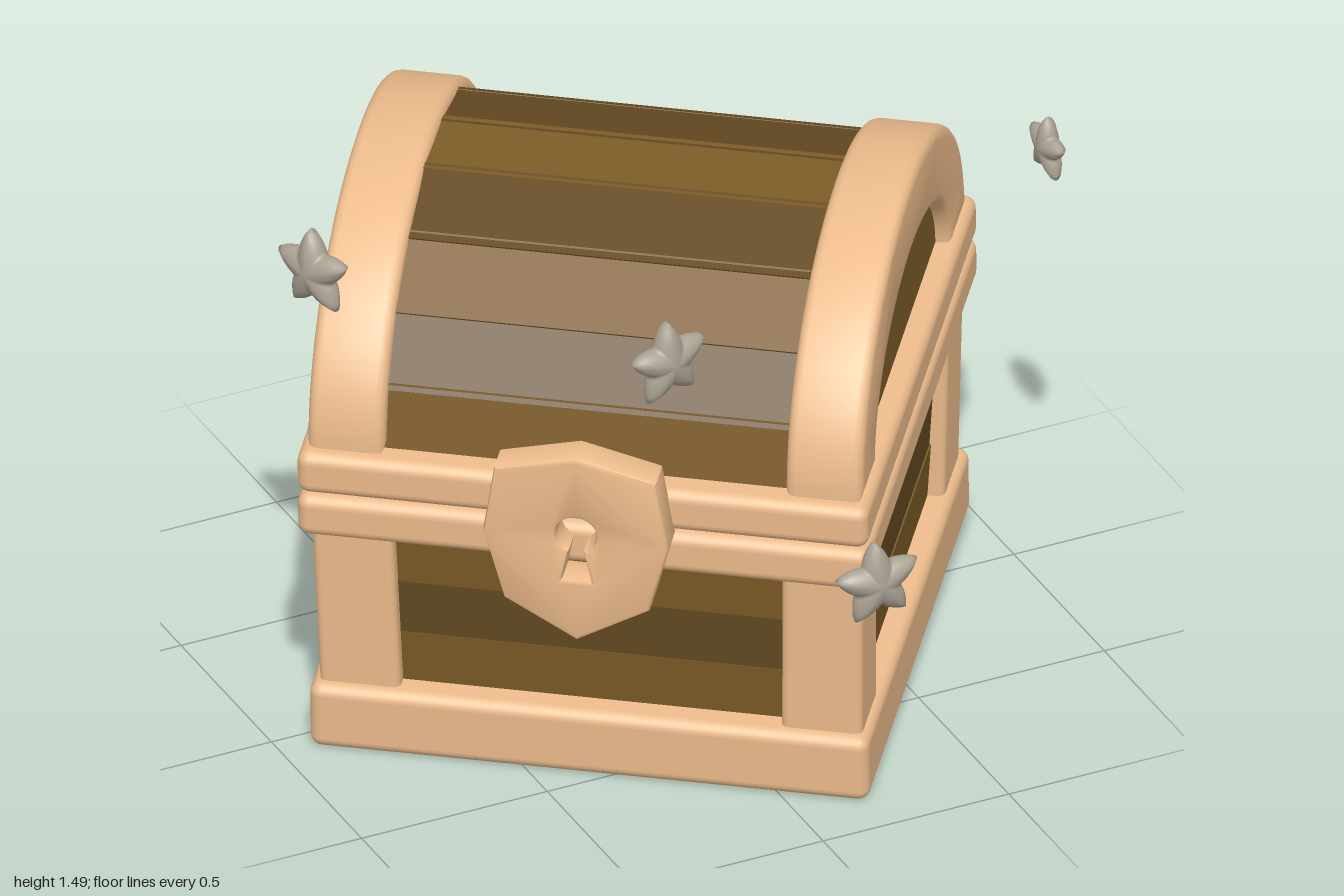
import * as THREE from 'three';
import { RoundedBoxGeometry } from 'three/addons/geometries/RoundedBoxGeometry.js';
import { toCreasedNormals } from 'three/addons/utils/BufferGeometryUtils.js';

const mat = (color) => new THREE.MeshStandardMaterial({ color });
const trim = mat(0xedbc8c);
const woods = [mat(0x7d5c28), mat(0x644a22)];
const starGrey = mat(0xaba394);

function add(parent, name, geometry, material, x = 0, y = 0, z = 0) {
  const mesh = new THREE.Mesh(geometry, material);
  mesh.name = name;
  mesh.position.set(x, y, z);
  parent.add(mesh);
  return mesh;
}

const rounded = (w, h, d, r = 0.03) => new RoundedBoxGeometry(w, h, d, 3, r);

// Corner post, leaning outwards towards the top
function postGeometry(sx, sz) {
  const g = rounded(0.2, 0.54, 0.2, 0.02);
  const p = g.attributes.position;
  for (let i = 0; i < p.count; i++) {
    const t = p.getY(i) / 0.54;
    p.setX(i, p.getX(i) + sx * 0.012 * t);
    p.setZ(i, p.getZ(i) + sz * 0.03 * t);
  }
  return g;
}

// Extrude a side profile along x, centred, with softened edges
function sideExtrude(shape, width, bevel) {
  const g = new THREE.ExtrudeGeometry(shape, {
    depth: width - 2 * bevel, bevelEnabled: bevel > 0, bevelSize: bevel,
    bevelThickness: bevel, bevelOffset: -bevel, bevelSegments: 3, curveSegments: 28,
  });
  g.translate(0, 0, -(width - 2 * bevel) / 2);
  g.rotateY(Math.PI / 2);
  return toCreasedNormals(g, 0.6);
}

// Puffy five-pointed star: a flattened sphere pulled into points
function starGeometry(radius) {
  const g = new THREE.SphereGeometry(1, 60, 16);
  g.rotateX(Math.PI / 2);
  const p = g.attributes.position;
  const step = (Math.PI * 2) / 5;
  for (let i = 0; i < p.count; i++) {
    const x = p.getX(i), y = p.getY(i), z = p.getZ(i);
    const a = Math.atan2(x, y);
    const off = Math.abs(a - Math.round(a / step) * step) / (step / 2);
    const r = radius * (0.54 + 0.46 * Math.pow(1 - off, 1.25));
    p.setXYZ(i, x * r, y * r, z * radius * 0.34);
  }
  g.computeVertexNormals();
  return g;
}

function buildBody(chest) {
  add(chest, 'base', rounded(1.38, 0.18, 1.31), trim, 0, 0.09, 0);
  add(chest, 'lowerBand', rounded(1.41, 0.115, 1.41), trim, 0, 0.707, 0);
  add(chest, 'upperBand', rounded(1.41, 0.115, 1.41), trim, 0, 0.83, 0);
  add(chest, 'bodyCore', new THREE.BoxGeometry(1.2, 0.7, 1.1), woods[1], 0, 0.45, 0);
  for (const sx of [-1, 1]) for (const sz of [-1, 1]) {
    add(chest, 'cornerPost', postGeometry(sx, sz), trim, sx * 0.575, 0.42, sz * 0.535);
  }
  // Horizontal planks on all four walls
  for (let i = 0; i < 4; i++) {
    const y = 0.25 + i * 0.152;
    for (const s of [-1, 1]) {
      const wall = add(chest, 'wallPlank', new THREE.BoxGeometry(1.12, 0.152, 0.06),
        woods[i % 2], 0, y, s * (0.555 + i * 0.008));
      wall.rotation.x = s * 0.06;
      const side = add(chest, 'sidePlank', new THREE.BoxGeometry(0.06, 0.152, 1.06),
        woods[i % 2], s * (0.603 + i * 0.005), y, 0);
      side.rotation.z = -s * 0.06;
    }
  }
}

function buildLid(chest) {
  const lid = new THREE.Group();
  lid.name = 'lid';
  lid.position.y = 0.88;
  chest.add(lid);

  // End arches with gable panels
  const arch = new THREE.Shape();
  arch.absellipse(0, 0, 0.665, 0.505, 0, Math.PI, false);
  arch.lineTo(-0.475, 0);
  arch.absellipse(0, 0, 0.475, 0.305, Math.PI, 0, true);
  arch.closePath();
  const archGeo = sideExtrude(arch, 0.19, 0.025);
  const panel = new THREE.Shape();
  panel.absellipse(0, 0, 0.53, 0.36, 0, Math.PI, false);
  panel.closePath();
  const panelGeo = sideExtrude(panel, 0.1, 0);
  for (const s of [-1, 1]) {
    add(lid, 'endArch', archGeo, trim, s * 0.59, 0, 0);
    add(lid, 'gablePanel', panelGeo, woods[0], s * 0.595, 0, 0);
  }

  // Curved roof of overlapping planks
  const count = 9, a = 0.625, b = 0.475;
  const at = (i) => {
    const t = (i / count) * Math.PI;
    return new THREE.Vector2(a * Math.cos(t), b * Math.sin(t));
  };
  for (let i = 0; i < count; i++) {
    const p = at(i), q = at(i + 1);
    const d = q.clone().sub(p);
    const plank = add(lid, 'lidPlank', new THREE.BoxGeometry(1.14, 0.05, d.length() + 0.025),
      woods[i % 2], 0, (p.y + q.y) / 2 - 0.012, (p.x + q.x) / 2);
    plank.rotation.x = Math.atan2(-d.y, d.x) + Math.PI + (i % 2 ? 0.03 : -0.03);
    // Keep the plank's centre just under the curve
    plank.position.z *= 0.975;
  }
}

function buildLock(chest) {
  const half = [[0, 0.265], [0.2, 0.215], [0.23, 0.03], [0.18, -0.16], [0, -0.265]];
  const left = half.slice(1, -1).reverse().map(([x, y]) => [-x, y]);
  const plate = new THREE.Shape([...half, ...left].map(([x, y]) => new THREE.Vector2(x, y)));
  // Keyhole: round top with a flared slot
  const hole = new THREE.Path();
  hole.absarc(0, 0.04, 0.05, -1.2, Math.PI + 1.2, false);
  hole.lineTo(-0.035, -0.09);
  hole.lineTo(0.035, -0.09);
  hole.closePath();
  plate.holes.push(hole);
  const g = new THREE.ExtrudeGeometry(plate, {
    depth: 0.07, bevelThickness: 0.012, bevelSize: 0.012, bevelOffset: -0.012,
    bevelSegments: 2, curveSegments: 16,
  });
  add(chest, 'lockPlate', toCreasedNormals(g, 0.5), trim, 0, 0.745, 0.7);
}

export function createModel() {
  const model = new THREE.Group();
  model.name = 'treasureChest';

  // Chest turned to one side and leaning slightly forwards
  const chest = new THREE.Group();
  chest.name = 'chest';
  chest.rotation.set(0.05, -0.645, 0, 'YXZ');
  chest.position.set(0.015, 0.035, -0.045);
  model.add(chest);
  buildBody(chest);
  buildLid(chest);
  buildLock(chest);

  // Floating stars: x, y, z, radius, turn, roll
  const stars = [
    [-0.35, 1.38, 0.86, 0.115, 0.2, 0.05],
    [0.16, 0.68, 0.97, 0.115, 0, 0.08],
    [-0.87, 1.29, -0.03, 0.115, -1.19, 0.1],
    [0.94, 1.345, 0.31, 0.085, Math.PI / 2, 0],
  ];
  for (const [x, y, z, r, turn, roll] of stars) {
    add(model, 'star', starGeometry(r), starGrey, x, y, z).rotation.set(0, turn, roll, 'YXZ');
  }
  return model;
}
